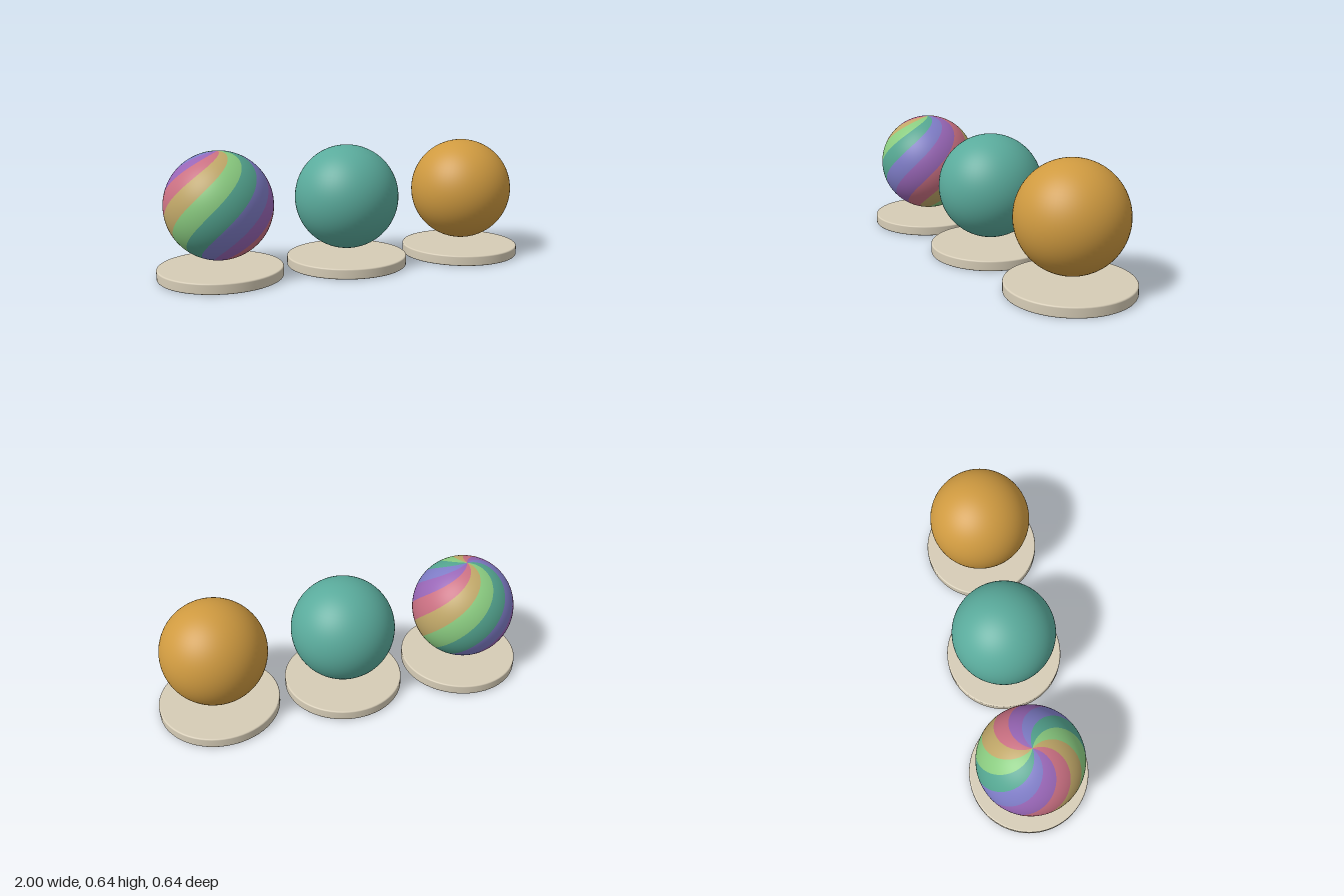
import * as THREE from 'three';

const R = 0.273, BALL_Y = 0.364, SPACING = 0.682;
const DISC_R = 0.318, DISC_H = 0.054, BEVEL = 0.007;

function material(name, color) {
  const m = new THREE.MeshStandardMaterial({ color });
  m.name = name;
  return m;
}

// Flat round base with a small rounded rim
function discGeometry() {
  const pts = [new THREE.Vector2(0, 0), new THREE.Vector2(DISC_R - BEVEL - 0.002, 0)];
  const corner = (y, from) => {
    for (let i = 0; i <= 4; i++) {
      const a = from + (i / 4) * Math.PI / 2;
      pts.push(new THREE.Vector2(DISC_R - BEVEL + Math.cos(a) * BEVEL, y + Math.sin(a) * BEVEL));
    }
  };
  corner(BEVEL, -Math.PI / 2);
  corner(DISC_H - BEVEL, 0);
  pts.push(new THREE.Vector2(DISC_R - BEVEL - 0.002, DISC_H), new THREE.Vector2(0, DISC_H));
  return new THREE.LatheGeometry(pts, 64);
}

// Pole-to-pole slice of a sphere, twisted by half a turn along its height
function stripeGeometry(start, width) {
  const geo = new THREE.SphereGeometry(R, 6, 48, start, width);
  const pos = geo.attributes.position, nor = geo.attributes.normal;
  const up = new THREE.Vector3(0, 1, 0), v = new THREE.Vector3();
  for (let i = 0; i < pos.count; i++) {
    v.fromBufferAttribute(pos, i);
    v.applyAxisAngle(up, Math.asin(THREE.MathUtils.clamp(v.y / R, -1, 1)));
    pos.setXYZ(i, v.x, v.y, v.z);
    v.normalize();
    nor.setXYZ(i, v.x, v.y, v.z);
  }
  return geo;
}

export function createModel() {
  const model = new THREE.Group();
  const add = (parent, name, geo, mat, x, y) => {
    const mesh = new THREE.Mesh(geo, mat);
    mesh.name = name;
    mesh.position.set(x, y, 0);
    parent.add(mesh);
  };

  // Bases
  const stone = material('warm stone', 0xd6ccb6);
  const disc = discGeometry();
  ['rightBase', 'middleBase', 'leftBase'].forEach((name, i) =>
    add(model, name, disc, stone, (i - 1) * SPACING, 0));

  // Plain balls
  const ball = new THREE.SphereGeometry(R, 64, 40);
  add(model, 'middleBall', ball, material('teal', 0x5aab9c), 0, BALL_Y);
  add(model, 'leftBall', ball, material('gold', 0xcf9a40), SPACING, BALL_Y);

  // Swirled ball: six colours, repeated twice around
  const swirl = new THREE.Group();
  swirl.name = 'swirlBall';
  swirl.position.set(-SPACING, BALL_Y, 0);
  const colors = [
    material('sea green', 0x54a590),
    material('periwinkle', 0x7e7cc6),
    material('purple', 0x9866b6),
    material('rose', 0xca7082),
    material('sand', 0xc0a768),
    material('leaf green', 0x8acb80),
  ];
  const width = Math.PI / 6;
  const first = Math.PI / 2 - width * 0.73;
  for (let i = 0; i < 12; i++) {
    add(swirl, 'stripe' + (i + 1), stripeGeometry(first + i * width, width), colors[i % 6], 0, 0);
  }
  model.add(swirl);
  return model;
}
